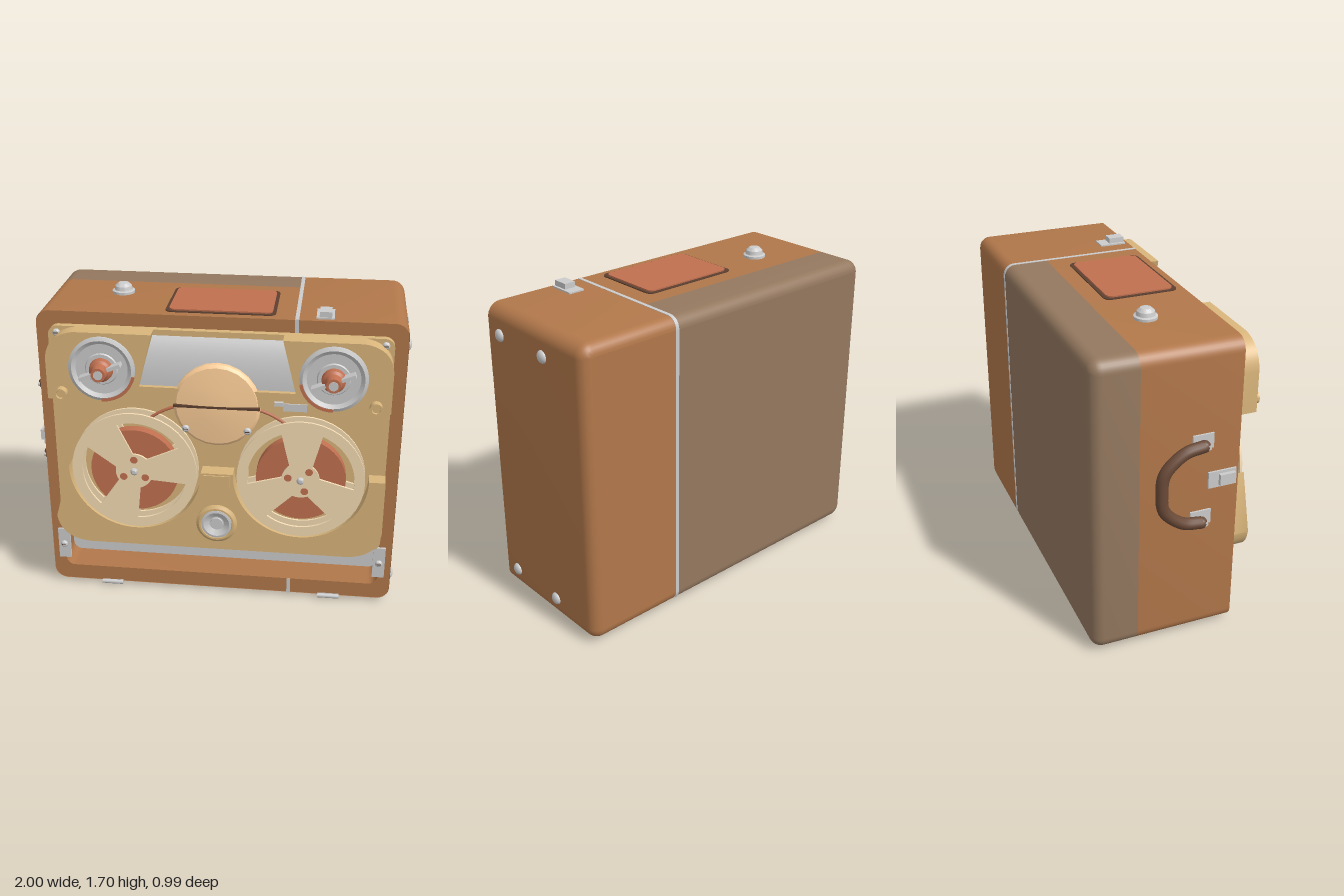
import * as THREE from 'three';
import { toCreasedNormals } from 'three/addons/utils/BufferGeometryUtils.js';

const mat = (color, opts = {}) => new THREE.MeshStandardMaterial({ color, ...opts });
const GREY = mat(0xcccccc), BROWN = mat(0xb1774a, { side: THREE.DoubleSide }),
  BAND = mat(0x94785f, { side: THREE.DoubleSide }), TAN = mat(0xd9b57b), REEL = mat(0xf5dcb4),
  RED = mat(0xc07050), PEACH = mat(0xffd09a), DARK = mat(0x5c4030), GRIP = mat(0x6a4a38);
const L = -0.92, R = 0.98, B = 0.02, T = 1.64, CX = 0.03, CORNER = 0.07, EDGE = 0.06;
const SIDES = [-1, 1];

export function createModel() {
  const g = new THREE.Group();
  const add = (name, geo, m, x = 0, y = 0, z = 0) => {
    const mesh = new THREE.Mesh(geo, m);
    mesh.name = name;
    mesh.position.set(x, y, z);
    g.add(mesh);
    return mesh;
  };
  // box given by its limits
  const box = (name, m, x0, x1, y0, y1, z0, z1) =>
    add(name, new THREE.BoxGeometry(x1 - x0, y1 - y0, z1 - z0), m, (x0 + x1) / 2, (y0 + y1) / 2, (z0 + z1) / 2);
  // turned part facing the front, from [radius, z] points
  const turn = (name, m, pts, x, y, z, seg = 40) => add(name, toCreasedNormals(
    new THREE.LatheGeometry(pts.map(p => new THREE.Vector2(...p)), seg).rotateX(Math.PI / 2), 0.5), m, x, y, z);
  const slab = (name, m, shape, z0, z1, x = 0, y = 0) => add(name, toCreasedNormals(
    new THREE.ExtrudeGeometry(shape, { depth: z1 - z0, bevelEnabled: false, curveSegments: 20 }), 0.5), m, x, y, z0);
  const rounded = (x0, x1, y0, y1, r, C = THREE.Shape) => {
    const s = new C();
    s.absarc(x1 - r, y0 + r, r, -Math.PI / 2, 0);
    s.absarc(x1 - r, y1 - r, r, 0, Math.PI / 2);
    s.absarc(x0 + r, y1 - r, r, Math.PI / 2, Math.PI);
    s.absarc(x0 + r, y0 + r, r, Math.PI, Math.PI * 1.5);
    s.closePath();
    return s;
  };
  const screw = (x, y, z) => {
    turn('screw', GREY, [[0.02, 0], [0.02, 0.006], [0.012, 0.014], [0, 0.016]], x, y, z, 16);
    box('screwSlot', DARK, x - 0.012, x + 0.012, y - 0.002, y + 0.002, z + 0.012, z + 0.0165);
  };

  // ---- case: open outlines swept to the back with a rounded rear edge ----
  const arc = (cx, cy, r, a0) => Array.from({ length: 9 }, (_, i) => {
    const a = a0 + i / 8 * Math.PI / 2;
    return [cx + r * Math.cos(a), cy + r * Math.sin(a)];
  });
  const q = Math.PI / 2;
  const leftLine = i => [[0.41, T - i], ...arc(L + CORNER, T - CORNER, CORNER - i, q),
    ...arc(L + CORNER, B + CORNER, CORNER - i, 2 * q), [0.41, B + i]];
  const rightLine = i => [[0.43, B + i], ...arc(R - CORNER, B + CORNER, CORNER - i, 3 * q),
    ...arc(R - CORNER, T - CORNER, CORNER - i, 0), [0.43, T - i]];
  const stripeLine = i => [[0.43, T - i + 0.002], [0.41, T - i + 0.002], [0.41, B + i - 0.002], [0.43, B + i - 0.002]];
  const rear = Array.from({ length: 8 }, (_, i) => {
    const a = i / 7 * q;
    return [-0.43 - EDGE * Math.sin(a), EDGE * (1 - Math.cos(a))];
  });
  const shell = (name, m, line, sections, cap) => {
    const pos = [], idx = [], n = line(0).length;
    sections.forEach(([z, i]) => line(i).forEach(([x, y]) => pos.push(x, y, z)));
    for (let s = 0; s < sections.length - 1; s++) for (let k = 0; k < n - 1; k++) {
      const a = s * n + k, b = a + n;
      idx.push(a, b, a + 1, a + 1, b, b + 1);
    }
    const geo = new THREE.BufferGeometry();
    geo.setAttribute('position', new THREE.Float32BufferAttribute(pos, 3));
    geo.setIndex(idx);
    add(name, toCreasedNormals(geo, 0.5), m);
    if (cap) add(name + 'Back', new THREE.ShapeGeometry(
      new THREE.Shape(line(EDGE).map(p => new THREE.Vector2(...p)))), m, 0, 0, sections.at(-1)[0]);
  };
  const STRIPE = mat(0xcccccc, { side: THREE.DoubleSide });
  shell('caseLeft', BROWN, leftLine, [[0.275, 0], [-0.25, 0]], false);
  shell('rearCover', BAND, leftLine, [[-0.25, 0], ...rear], true);
  shell('caseRight', BROWN, rightLine, [[0.275, 0], ...rear], true);
  shell('stripe', STRIPE, stripeLine, [[0.09, 0], ...rear.map(([z, i]) => [z - 0.002, i])], true);
  box('stripeTop', GREY, 0.41, 0.43, 1.572, T + 0.002, 0.08, 0.278);
  box('stripeBottom', GREY, 0.41, 0.43, B - 0.002, 0.108, 0.08, 0.278);
  const frame = rounded(L + 0.002, R - 0.002, B + 0.002, T - 0.002, CORNER);
  frame.holes.push(rounded(-0.85, 0.91, 0.11, 1.57, 0.05, THREE.Path));
  slab('frontFrame', BROWN, frame, 0.06, 0.275);

  // ---- recessed control panel ----
  box('controlPanel', GREY, -0.86, 0.92, 0.1, 0.37, 0.07, 0.1);
  const disc = (r, h) => [[r, 0], [r, h], [0, h]];
  SIDES.forEach(s => {
    turn('panelKnob', GREY, disc(0.042, 0.04), CX + s * 0.655, 0.2, 0.1);
    const x = CX + s * 0.882;
    box('panelBracket', GREY, x - 0.033, x + 0.033, 0.165, 0.35, 0.27, 0.288);
    screw(x, 0.255, 0.288);
  });
  for (let i = 0; i < 6; i++) turn('panelButton', GREY, disc(0.022, 0.03), -0.085 + i * 0.095, 0.178, 0.1, 20);

  // ---- deck base and the raised parts around the reels ----
  slab('deckBase', TAN, rounded(-0.85, 0.91, 0.35, 1.57, 0.05), 0.1, 0.31);
  const lower = new THREE.Shape();
  lower.moveTo(-0.88, 0.81);
  lower.absarc(-0.44, 0.81, 0.355, Math.PI, Math.PI * 2);
  lower.absarc(0.44, 0.81, 0.355, Math.PI, Math.PI * 2);
  lower.lineTo(0.88, 0.81);
  lower.lineTo(0.88, 0.5);
  lower.quadraticCurveTo(0.86, 0.36, 0.7, 0.35);
  lower.lineTo(-0.7, 0.35);
  lower.quadraticCurveTo(-0.86, 0.36, -0.88, 0.5);
  slab('lowerDeck', TAN, lower, 0.31, 0.395, CX);
  const upper = new THREE.Shape();
  upper.moveTo(-0.88, 1.2);
  upper.lineTo(0.88, 1.2);
  upper.lineTo(0.88, 1.42);
  upper.quadraticCurveTo(0.87, 1.55, 0.73, 1.57);
  upper.lineTo(0.33, 1.57);
  upper.lineTo(0.4, 1.29);
  upper.lineTo(-0.4, 1.29);
  upper.lineTo(-0.33, 1.57);
  upper.lineTo(-0.73, 1.57);
  upper.quadraticCurveTo(-0.87, 1.55, -0.88, 1.42);
  slab('upperDeck', TAN, upper, 0.31, 0.395, CX);
  SIDES.forEach(s => [0.39, 1.535].forEach(y => screw(CX + s * 0.835, y, 0.31)));

  // curved grey window: cross-section in z, y swept along x and tapered to the top
  const bulge = new THREE.Shape();
  bulge.moveTo(0.3, 1.285);
  bulge.lineTo(0.37, 1.285);
  bulge.quadraticCurveTo(0.372, 1.46, 0.31, 1.54);
  bulge.lineTo(0.3, 1.54);
  const win = new THREE.ExtrudeGeometry(bulge, { depth: 0.8, bevelEnabled: false });
  win.translate(0, 0, -0.4).rotateY(-Math.PI / 2).scale(-1, 1, 1);
  const wp = win.attributes.position;
  for (let i = 0; i < wp.count; i++) wp.setX(i, wp.getX(i) * (1 - (wp.getY(i) - 1.29) * 0.6));
  win.computeVertexNormals();
  add('meterWindow', toCreasedNormals(win, 0.5), STRIPE, CX, 0, 0);
  // sweep is turned so that its depth runs forward
  for (let i = 0; i < wp.count; i++) wp.setZ(i, Math.abs(wp.getZ(i)));
  g.children.at(-1).geometry = toCreasedNormals(win, 0.5);

  // ---- reels ----
  const flange = turnBy => {
    const s = new THREE.Shape();
    s.absarc(0, 0, 0.335, 0, Math.PI * 2);
    for (let i = 0; i < 3; i++) {
      const a = turnBy + i * Math.PI * 2 / 3, h = new THREE.Path();
      h.absarc(0, 0, 0.28, a - 0.66, a + 0.66);
      h.absarc(0, 0, 0.1, a + 0.4, a - 0.4, true);
      h.closePath();
      s.holes.push(h);
    }
    return s;
  };
  [[-0.41, 1.22], [0.47, 0.52]].forEach(([x, a]) => {
    slab('reelFrontFlange', REEL, flange(a), 0.385, 0.397, x, 0.8);
    slab('reelBackFlange', REEL, flange(a), 0.316, 0.328, x, 0.8);
    turn('tapePack', RED, disc(0.235, 0.055), x, 0.8, 0.328);
    for (let i = 0; i < 3; i++) {
      const b = a + 0.35 + i * Math.PI * 2 / 3;
      turn('reelHubHole', RED, disc(0.02, 0.002), x + 0.067 * Math.cos(b), 0.8 + 0.067 * Math.sin(b), 0.397, 20);
    }
    turn('spindle', GREY, [[0.02, 0], [0.02, 0.008], [0.01, 0.016], [0, 0.017]], x, 0.8, 0.396, 16);
  });

  // ---- dials with knobs, and the small push buttons ----
  SIDES.forEach(s => {
    const x = CX + s * 0.587, y = 1.38;
    turn('dial', GREY, [[0.172, 0], [0.172, 0.012], [0.155, 0.02], [0.135, 0.006], [0.085, 0.005],
      [0.08, 0.012], [0, 0.012]], x, y, 0.395);
    const mark = new THREE.Shape(), a = s < 0 ? -1.6 : -2.95;
    mark.absarc(0, 0, 0.173, a, a + 1.4);
    mark.absarc(0, 0, 0.157, a + 1.4, a, true);
    slab('dialMark', RED, mark, 0.4, 0.417, x, y);
    turn('knob', RED, [[0.062, 0], [0.058, 0.03], [0.045, 0.04], [0.037, 0.085], [0, 0.085]], x, y, 0.405, 24);
    turn('knobCap', GREY, disc(0.024, 0.004), x, y, 0.489, 20);
    const p = add('knobPointer', new THREE.BoxGeometry(0.23, 0.018, 0.05), GREY, x, y, 0.435);
    p.rotation.z = 0.38;
    turn('pushButton', TAN, [[0.032, 0], [0.032, 0.04], [0.022, 0.04], [0.02, 0.03], [0, 0.03]],
      CX + s * 0.803, 1.24, 0.395, 24);
  });

  // ---- head cover, tape path and capstan ----
  turn('headCover', PEACH, [[0.225, 0], [0.225, 0.075], [0.21, 0.088], [0.1, 0.1], [0, 0.104]], CX, 1.2, 0.31, 24);
  box('headCoverSlit', DARK, CX - 0.222, CX + 0.222, 1.194, 1.206, 0.35, 0.4155);
  SIDES.forEach(s => {
    screw(CX + s * 0.16, 1.07, 0.395);
    const path = new THREE.QuadraticBezierCurve3(new THREE.Vector3(CX + s * 0.35, 1.1, 0.35),
      new THREE.Vector3(CX + s * 0.25, 1.18, 0.35), new THREE.Vector3(CX + s * 0.1, 1.19, 0.35));
    add('tape', new THREE.TubeGeometry(path, 16, 0.008, 6), RED);
  });
  box('leverArm', GREY, 0.37, 0.49, 1.195, 1.235, 0.395, 0.402);
  box('leverTip', GREY, 0.325, 0.37, 1.225, 1.245, 0.395, 0.415);
  turn('capstanRing', TAN, [[0.11, 0], [0.11, 0.012], [0.095, 0.022], [0.085, 0.022], [0.08, 0.003]], CX, 0.515, 0.394);
  turn('capstanDish', GREY, [[0.082, 0], [0.082, 0.02], [0.07, 0.022], [0.04, 0.005], [0.034, 0.005],
    [0.032, 0.012], [0, 0.012]], CX, 0.515, 0.394);
  box('centreGuide', TAN, CX - 0.07, CX + 0.07, 0.74, 0.8, 0.395, 0.402);

  // ---- top fittings ----
  const pad = (name, m, i, y0, y1) => slab(name, m, rounded(-0.255 + i, 0.31 - i, -0.235 + i, 0.16 - i, 0.035), 0, y1 - y0)
    .rotateX(-Math.PI / 2).position.set(0, y0, 0);
  pad('topPadBorder', DARK, 0, 1.63, 1.645);
  pad('topPad', RED, 0.017, 1.63, 1.652);
  const dome = turn('topKnob', GREY, [[0.06, 0], [0.06, 0.015], [0.048, 0.02], [0.044, 0.04], [0.028, 0.055], [0, 0.06]],
    -0.525, 1.638, -0.06);
  dome.rotation.x = -Math.PI / 2;
  box('topCatchPlate', GREY, 0.515, 0.605, 1.635, 1.648, 0.11, 0.255);
  box('topCatch', GREY, 0.53, 0.592, 1.64, 1.677, 0.165, 0.25);

  // ---- side feet and bottom hinges ----
  [0.135, 1.5].forEach(y => [0.18, -0.175].forEach(z =>
    add('sideFoot', new THREE.SphereGeometry(0.033, 20, 12).scale(0.6, 1, 1), GREY, R, y, z)));
  [-0.585, 0.645].forEach(x => {
    box('hingePlate', GREY, x - 0.06, x + 0.06, 0.01, 0.03, 0.2, 0.275);
    add('hinge', new THREE.CylinderGeometry(0.013, 0.013, 0.12, 12).rotateZ(Math.PI / 2), GREY, x, 0.014, 0.278);
  });

  // ---- carrying handle on the side ----
  const grip = new THREE.CatmullRomCurve3([[0.71, 0.06], [0.73, -0.04], [0.82, -0.14], [0.925, -0.155],
    [1.03, -0.14], [1.12, -0.04], [1.14, 0.06]].map(([y, z]) => new THREE.Vector3(-0.968, y, z)));
  add('handleGrip', new THREE.TubeGeometry(grip, 40, 0.031, 12), GRIP);
  [0.71, 1.14].forEach(y => {
    add('handleEnd', new THREE.SphereGeometry(0.031, 12, 8), GRIP, -0.968, y, 0.06);
    box('handlePlate', GREY, -0.93, -0.915, y - 0.04, y + 0.04, 0.02, 0.13);
    add('handlePin', new THREE.CylinderGeometry(0.012, 0.012, 0.075, 12).rotateZ(Math.PI / 2), GREY, -0.957, y, 0.075);
  });
  box('sideCatchPlate', GREY, -0.93, -0.915, 0.87, 0.96, 0.11, 0.26);
  box('sideCatch', GREY, -0.95, -0.92, 0.885, 0.945, 0.165, 0.25);
  return g;
}
